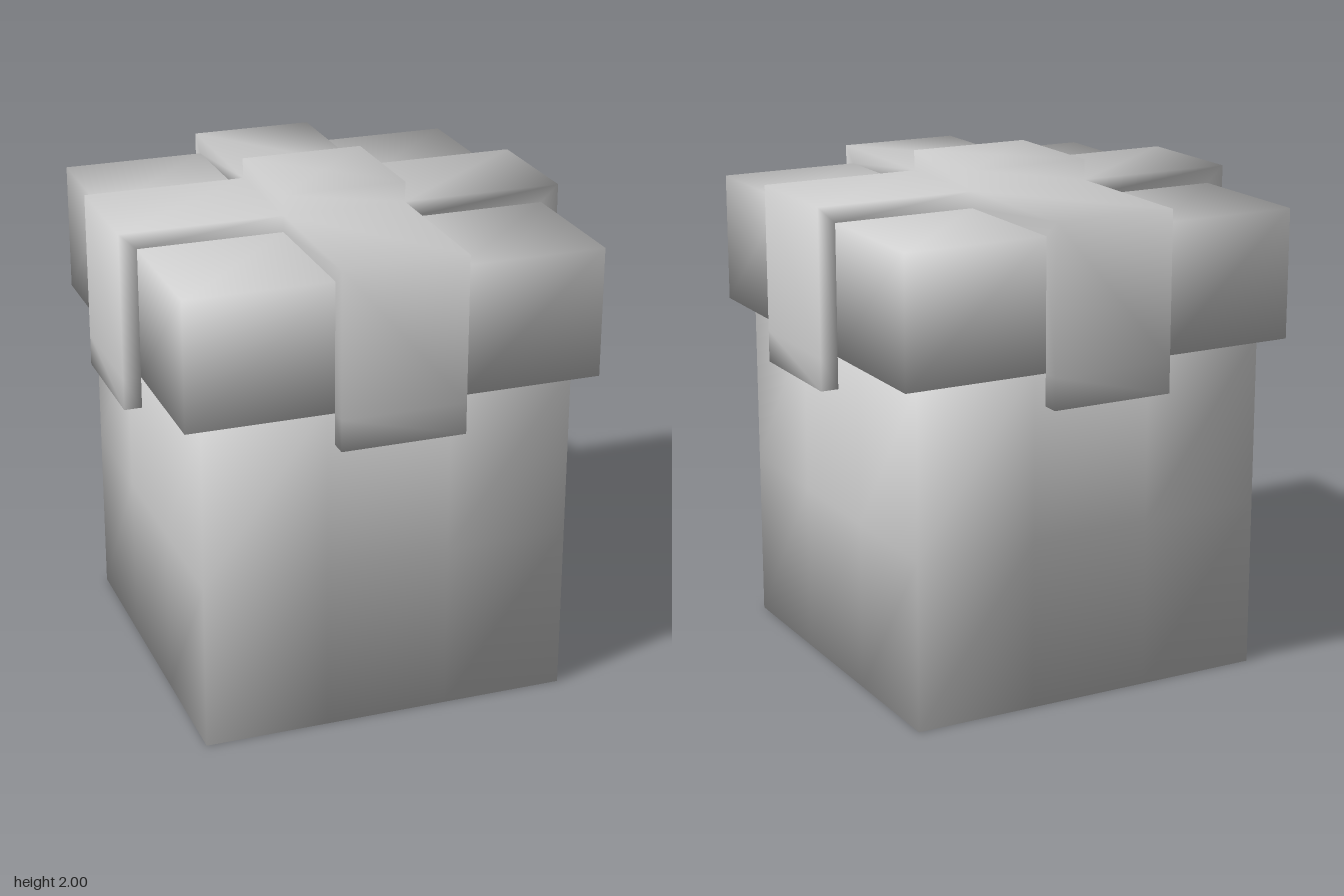
import * as THREE from 'three';
import { mergeGeometries, mergeVertices } from 'three/addons/utils/BufferGeometryUtils.js';

const W = 0.245; // half width of the ribbon

function softMesh(name, geometry, material) {
  geometry.deleteAttribute('uv');
  geometry.deleteAttribute('normal');
  const welded = mergeVertices(geometry, 1e-4);
  welded.computeVertexNormals();
  const mesh = new THREE.Mesh(welded, material);
  mesh.name = name;
  return mesh;
}

// Box from y0 to y1, cut into three columns at the ribbon's width
function slab(half, y0, y1, rows) {
  const g = new THREE.BoxGeometry(half * 2, y1 - y0, half * 2, 3, rows, 3);
  g.translate(0, (y0 + y1) / 2, 0);
  const p = g.attributes.position;
  const snap = (v) => (Math.abs(v) < half * 0.9 ? Math.sign(v) * W : v);
  for (let i = 0; i < p.count; i++) p.setXYZ(i, snap(p.getX(i)), p.getY(i), snap(p.getZ(i)));
  return g;
}

// One quarter of the ribbon: a strip running out over the lid and down its side
function ribbonArm() {
  const pos = [];
  const tri = (...pts) => pts.forEach((p) => pos.push(...p));
  const quad = (a, b, c, d) => tri(a, b, c, a, c, d);
  const at = (x, [z, y]) => [x, y, z];

  // Raised square in the middle
  tri([0, 2, 0], [-W, 2, W], [W, 2, W]);

  // Broad faces, following [z, y] from the middle to behind the hanging end
  const path = [[W, 2], [W, 1.92], [0.885, 1.92], [0.885, 1.345], [0.885, 1.22], [0.815, 1.22], [0.815, 1.345]];
  for (let i = 0; i < path.length - 1; i++) {
    quad(at(-W, path[i]), at(-W, path[i + 1]), at(W, path[i + 1]), at(W, path[i]));
  }

  // Narrow side faces between outer and inner edges
  const outer = path.slice(1, 5);
  const inner = [[W, 1.855], [0.815, 1.855], [0.815, 1.345], [0.815, 1.22]];
  for (let i = 0; i < 3; i++) {
    const edge = [outer[i], outer[i + 1], inner[i + 1], inner[i]];
    quad(...edge.map((p) => at(W, p)));
    quad(...edge.map((p) => at(-W, p)).reverse());
  }

  const g = new THREE.BufferGeometry();
  g.setAttribute('position', new THREE.Float32BufferAttribute(pos, 3));
  return g;
}

export function createModel() {
  const group = new THREE.Group();
  group.name = 'giftBox';
  const material = new THREE.MeshStandardMaterial({ color: 0xcccccc });

  group.add(softMesh('body', slab(0.735, 0, 1.345, 2), material));
  group.add(softMesh('lid', slab(0.815, 1.345, 1.855, 1), material));

  // Four arms make the crossed ribbon
  const arms = [0, 1, 2, 3].map((i) => ribbonArm().rotateY((i * Math.PI) / 2));
  group.add(softMesh('ribbon', mergeGeometries(arms), material));
  return group;
}
